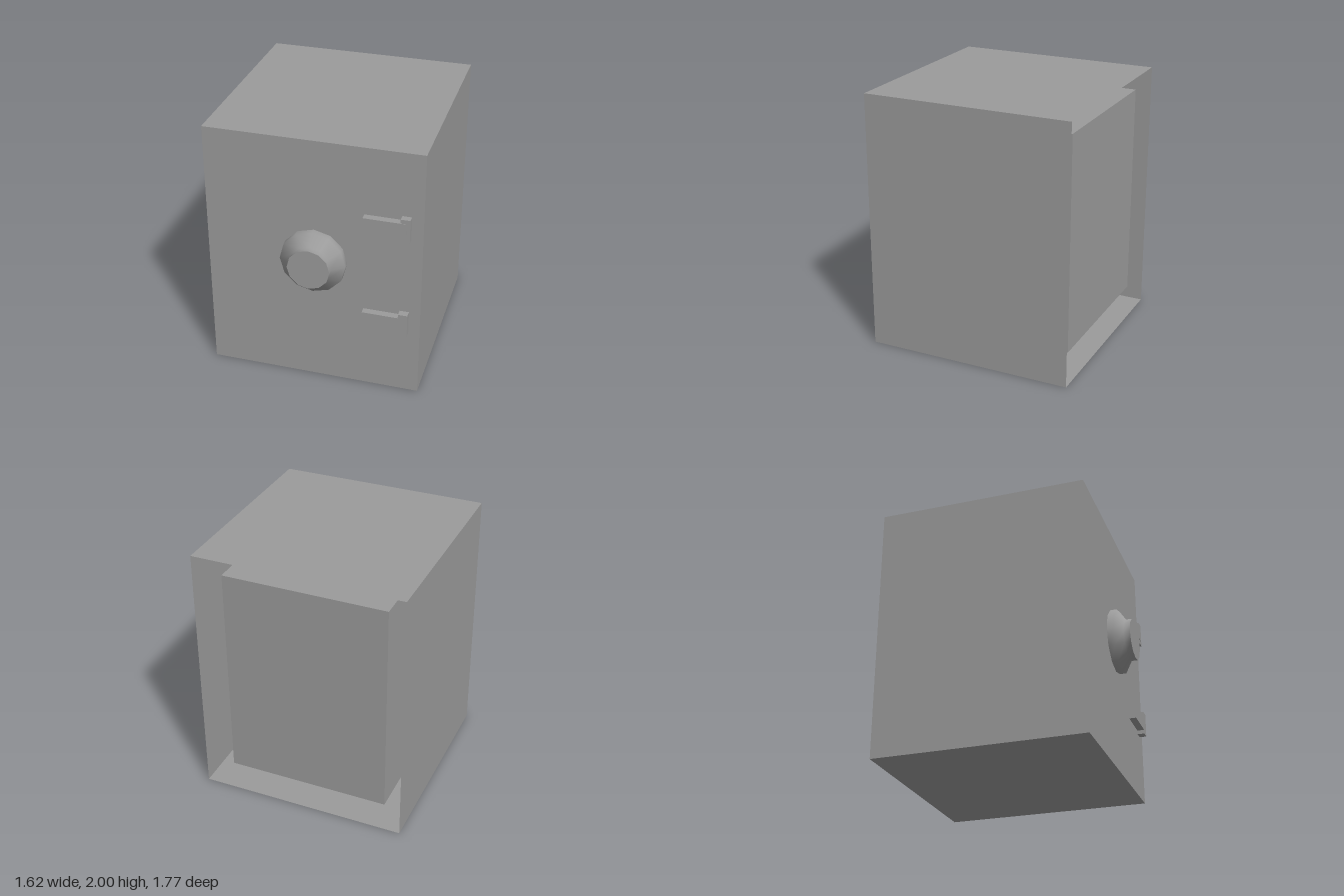
import * as THREE from 'three';
import { toCreasedNormals } from 'three/addons/utils/BufferGeometryUtils.js';

const grey = new THREE.MeshStandardMaterial({ color: 0x9a9a9a });
const greyDouble = new THREE.MeshStandardMaterial({ color: 0x9a9a9a, side: THREE.DoubleSide });

// Box given by its minimum and maximum corners
function boxBetween(name, [x0, y0, z0], [x1, y1, z1], material = grey) {
  const mesh = new THREE.Mesh(new THREE.BoxGeometry(x1 - x0, y1 - y0, z1 - z0), material);
  mesh.position.set((x0 + x1) / 2, (y0 + y1) / 2, (z0 + z1) / 2);
  mesh.name = name;
  return mesh;
}

// Traces a rectangle on a shape or path
function rectangle(path, x0, y0, x1, y1) {
  return path.moveTo(x0, y0).lineTo(x1, y0).lineTo(x1, y1).lineTo(x0, y1).closePath();
}

export function createModel() {
  const safe = new THREE.Group();
  safe.name = 'safe';
  const front = 0.727;

  // Casing walls: sides, top and bottom only, narrowing very slightly to the open back
  const casing = boxBetween('casing', [-0.81, 0, -0.883], [0.81, 2, front], greyDouble);
  casing.geometry.setIndex(Array.from(casing.geometry.index.array).slice(0, 24));
  casing.geometry.clearGroups();
  const corners = casing.geometry.attributes.position;
  for (let i = 0; i < corners.count; i++) {
    if (corners.getZ(i) < 0) corners.setX(i, corners.getX(i) * 0.995);
  }
  safe.add(casing);

  // Front panel with a narrow slot near the bottom
  const panelShape = rectangle(new THREE.Shape(), -0.81, 0, 0.81, 2);
  panelShape.holes.push(rectangle(new THREE.Path(), -0.65, 0.188, 0.6, 0.2));
  const panel = new THREE.Mesh(new THREE.ShapeGeometry(panelShape), greyDouble);
  panel.position.z = front;
  panel.name = 'frontPanel';
  safe.add(panel);

  // Inner compartment, seen through the open back and just behind the slot
  safe.add(boxBetween('innerCompartment', [-0.655, 0.17, -0.81], [0.61, 1.85, front - 0.003]));

  // Twelve-sided combination dial: wide base, bevel, narrow knob
  const profile = [[0.248, 0], [0.248, 0.05], [0.16, 0.106], [0.16, 0.156], [0, 0.156]]
    .map(([r, h]) => new THREE.Vector2(r, h));
  const dial = new THREE.Mesh(
    toCreasedNormals(new THREE.LatheGeometry(profile, 12), THREE.MathUtils.degToRad(75)), grey);
  dial.rotation.x = Math.PI / 2;
  dial.position.set(0.01, 1.042, front);
  dial.name = 'dial';
  safe.add(dial);

  // Two hinges: a horizontal arm and a taller end block, set back a little on the upper one
  for (const [name, x, y, blockDepth] of [
    ['upperHinge', 0.382, 1.417, 0.051],
    ['lowerHinge', 0.384, 0.618, 0.055],
  ]) {
    const hinge = new THREE.Group();
    hinge.name = name;
    hinge.add(
      boxBetween('hingeArm', [0, -0.061, 0], [0.315, 0.061, 0.0545]),
      boxBetween('hingeBlock', [0.272, -0.092, 0], [0.342, 0.092, blockDepth]));
    hinge.position.set(x, y, front);
    safe.add(hinge);
  }

  return safe;
}
